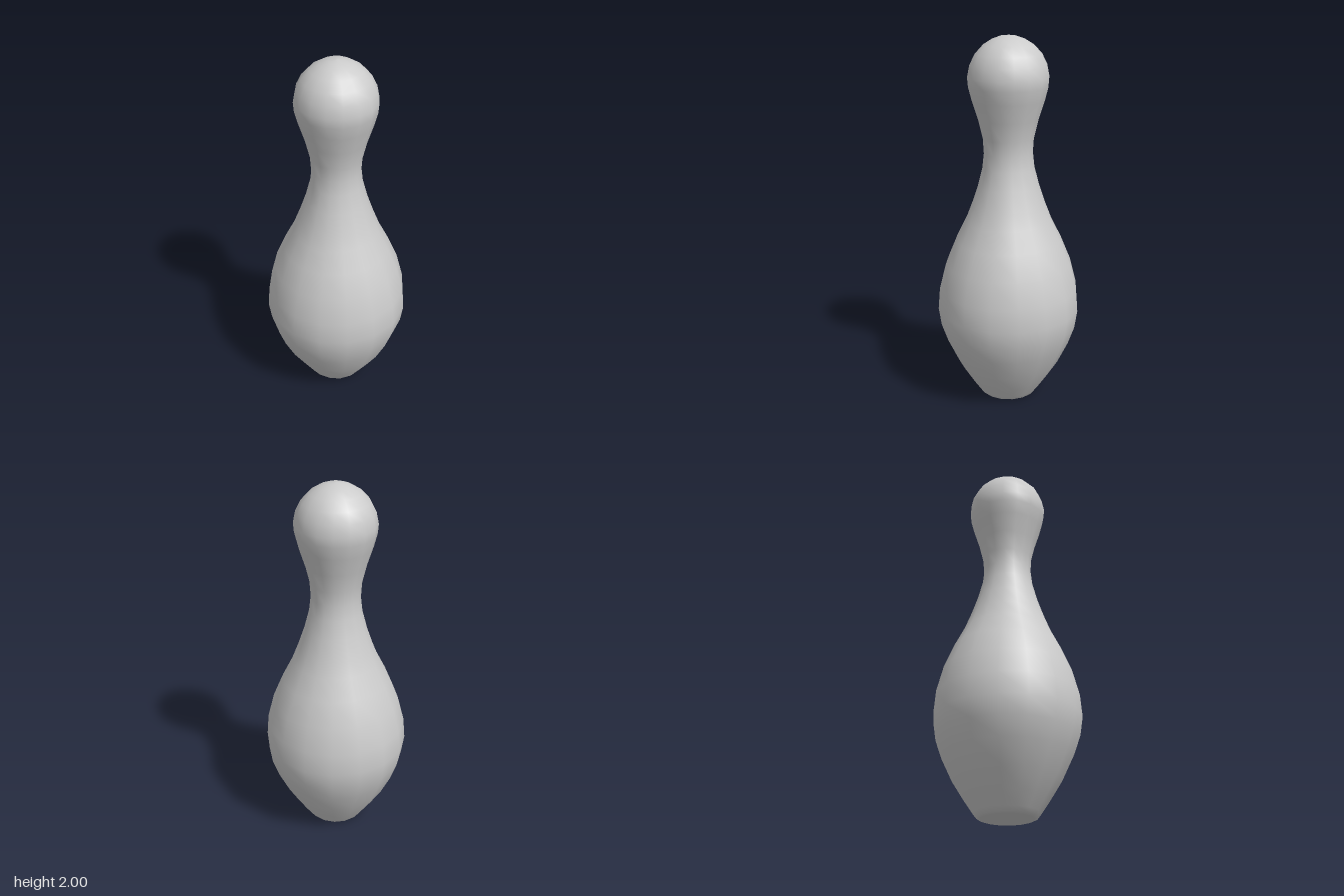
import * as THREE from 'three';

export function createModel() {
  const group = new THREE.Group();
  group.name = 'bowlingPin';
  const material = new THREE.MeshStandardMaterial({ color: 0xcccccc });

  // Outline from the base centre up to the crown: [radius, height]
  const profile = [
    [0, 0.008], [0.08, 0.006], [0.135, 0], [0.155, 0.008], [0.172, 0.03],
    [0.22, 0.1], [0.283, 0.2], [0.34, 0.32], [0.375, 0.42], [0.39, 0.52],
    [0.38, 0.64], [0.344, 0.78], [0.29, 0.91], [0.235, 1.02], [0.2, 1.11],
    [0.166, 1.21], [0.14, 1.31], [0.131, 1.39], [0.136, 1.47], [0.16, 1.57],
    [0.192, 1.67], [0.21, 1.74], [0.214, 1.79], [0.202, 1.85], [0.175, 1.905],
    [0.133, 1.95], [0.085, 1.98], [0.04, 1.996], [0, 2],
  ].map(([r, y]) => new THREE.Vector2(r, y));

  // Sixteen-sided body with smooth shading
  const body = new THREE.Mesh(new THREE.LatheGeometry(profile, 16), material);
  body.name = 'pinBody';
  group.add(body);
  return group;
}
